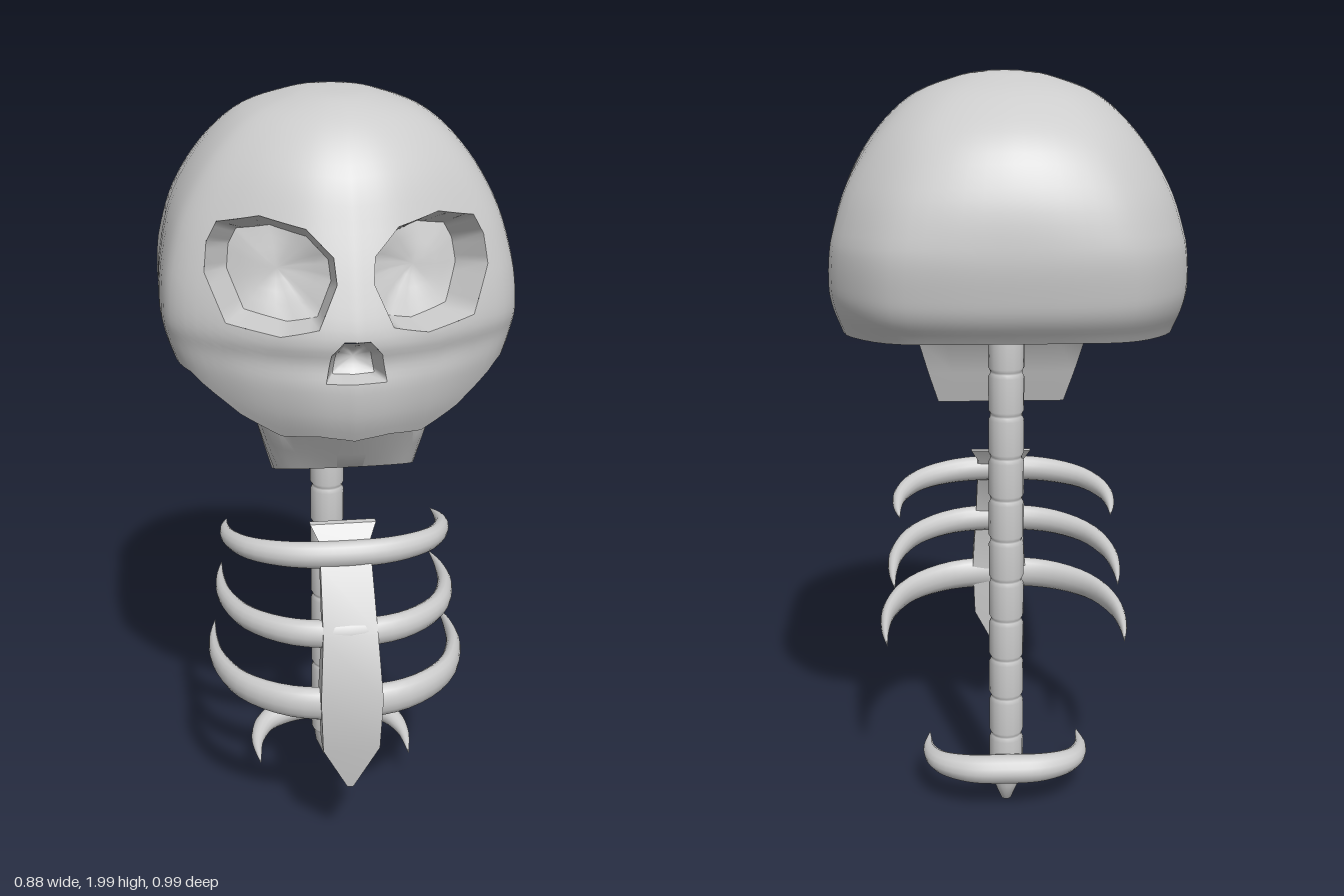
import * as THREE from 'three';
import { mergeVertices, toCreasedNormals } from 'three/addons/utils/BufferGeometryUtils.js';

const V2 = (x, y) => new THREE.Vector2(x, y);
const V3 = (x, y, z) => new THREE.Vector3(x, y, z);
const bone = new THREE.MeshStandardMaterial({ color: 0xcccccc });
bone.name = 'bone';

// Surface from a rule fn(u, v): v runs along the rows, u around each row
function surface(cols, rows, fn) {
  const pos = [], idx = [], w = cols + 1;
  for (let i = 0; i <= rows; i++) for (let j = 0; j <= cols; j++) pos.push(...fn(j / cols, i / rows).toArray());
  for (let i = 0; i < rows; i++) for (let j = 0; j < cols; j++) {
    const a = i * w + j, b = a + w;
    idx.push(a, b, b + 1, a, b + 1, a + 1);
  }
  const g = new THREE.BufferGeometry();
  g.setAttribute('position', new THREE.Float32BufferAttribute(pos, 3));
  g.setIndex(idx);
  const m = mergeVertices(g, 1e-5);
  m.computeVertexNormals();
  return m;
}

// Skull profile from crown to teeth: height, half width, front depth, back depth
const profile = [
  [2, 0, 0, 0], [1.998, .05, .06, .06], [1.985, .12, .17, .14], [1.94, .235, .27, .28], [1.85, .33, .355, .41],
  [1.73, .4, .41, .475], [1.6, .432, .46, .497], [1.5, .44, .49, .49], [1.44, .432, .48, .475],
  [1.38, .412, .487, .435], [1.3, .385, .475, .4], [1.22, .36, .44, .36]];
const heightWidth = new THREE.SplineCurve(profile.map(p => V2(p[0], p[1])));
const depths = new THREE.SplineCurve(profile.map(p => V2(p[2], p[3])));
// Half outline seen from above, front to back, and the height of the lower rim along it
const outline = new THREE.SplineCurve([[0, .49], [.1, .473], [.2, .43], [.3, .37], [.4, .28], [.435, .17], [.44, -.1],
  [.43, -.28], [.32, -.44], [.17, -.49], [0, -.5]].map(p => V2(p[0] / .44, p[1] / (p[1] > 0 ? .49 : .5))));
const rimHeights = [1.245, 1.257, 1.245, 1.29, 1.375, 1.388, 1.375, 1.372, 1.378, 1.383, 1.385];

function bisect(lo, hi, below) {
  for (let i = 0; i < 30; i++) {
    const m = (lo + hi) / 2;
    if (below(m)) lo = m; else hi = m;
  }
  return (lo + hi) / 2;
}

function skullPoint(s, t) {
  const { x: y, y: hw } = heightWidth.getPoint(s), d = depths.getPoint(s), o = outline.getPoint(t);
  const a = Math.atan2(o.x, o.y), k = THREE.MathUtils.clamp((y - 1.6) / .4, 0, 1) * .8;
  const x = THREE.MathUtils.lerp(o.x, Math.sin(a), k), z = THREE.MathUtils.lerp(o.y, Math.cos(a), k);
  return V3(x * hw, y, z * (z > 0 ? d.x : d.y));
}
const levelAt = y => bisect(0, 1, s => heightWidth.getPoint(s).x > y);
function frontZ(x, y) {
  const s = levelAt(y);
  return skullPoint(s, bisect(0, .6, t => skullPoint(s, t).x < Math.abs(x))).z;
}
function rimLevel(t) {
  const f = t * 10, i = Math.min(9, Math.floor(f));
  return levelAt(THREE.MathUtils.lerp(rimHeights[i], rimHeights[i + 1], f - i));
}
function skullAround(u, v) {
  const t = u < .5 ? 2 * u : 2 - 2 * u;
  const p = skullPoint(rimLevel(t) * v, t);
  if (u > .5) p.x *= -1;
  return p;
}

// Openings, clockwise from the front
const leftEye = [[.042, 1.62], [.047, 1.677], [.105, 1.735], [.206, 1.757], [.3, 1.735], [.325, 1.69],
  [.333, 1.624], [.29, 1.52], [.17, 1.503], [.085, 1.524]];
const rightEye = leftEye.map(([x, y]) => [-x, y]).reverse();
const nose = [[-.07, 1.397], [-.058, 1.465], [-.03, 1.497], [.03, 1.497], [.058, 1.465], [.07, 1.397]];

// Cut convex openings through the front of a surface
function cutOpenings(geo, holes) {
  const g = geo.toNonIndexed(), P = g.attributes.position, N = g.attributes.normal;
  let tris = [];
  const vert = i => [P.getX(i), P.getY(i), P.getZ(i), N.getX(i), N.getY(i), N.getZ(i)];
  for (let i = 0; i < P.count; i += 3) tris.push([vert(i), vert(i + 1), vert(i + 2)]);
  for (const hole of holes) {
    const edges = hole.map((p, i) => {
      const q = hole[(i + 1) % hole.length];
      return v => (q[0] - p[0]) * (v[1] - p[1]) - (q[1] - p[1]) * (v[0] - p[0]);
    });
    const clip = (poly, f) => poly.flatMap((a, i) => {
      const b = poly[(i + 1) % poly.length], da = f(a), db = f(b), out = da >= 0 ? [a] : [];
      if (da * db < 0) out.push(a.map((c, k) => c + (b[k] - c) * da / (da - db)));
      return out;
    });
    tris = tris.flatMap(tri => {
      if (tri[0][2] < .1 || edges.some(f => tri.every(v => f(v) >= 0))) return [tri];
      const kept = [];
      let rest = tri;
      for (const f of edges) {
        const out = clip(rest, f);
        for (let i = 1; i + 1 < out.length; i++) kept.push([out[0], out[i], out[i + 1]]);
        rest = clip(rest, v => -f(v));
      }
      return kept;
    });
  }
  const all = tris.flat(), r = new THREE.BufferGeometry();
  r.setAttribute('position', new THREE.Float32BufferAttribute(all.flatMap(v => v.slice(0, 3)), 3));
  r.setAttribute('normal', new THREE.Float32BufferAttribute(all.flatMap(v => v.slice(3)), 3));
  return r;
}

// Recess behind an opening: a wall narrowing inward, then a shallow bowl
function recess(hole, depth, scale, dx, dy) {
  const n = hole.length;
  const cx = hole.reduce((a, p) => a + p[0], 0) / n, cy = hole.reduce((a, p) => a + p[1], 0) / n;
  const rim = u => {
    const f = (u * n) % n, i = Math.floor(f), a = hole[i], b = hole[(i + 1) % n];
    const x = a[0] + (b[0] - a[0]) * (f - i), y = a[1] + (b[1] - a[1]) * (f - i);
    return V3(x, y, frontZ(x, y));
  };
  const inner = u => {
    const p = rim(u);
    return V3(cx + (p.x - cx) * scale + dx, cy + (p.y - cy) * scale + dy, p.z - depth);
  };
  const mid = V3(cx + dx, cy + dy, frontZ(cx, cy) - depth * 1.25);
  return [surface(n * 4, 1, (u, v) => rim(u).lerp(inner(u), v)),
    surface(n * 4, 4, (u, v) => {
      const p = inner(u), z = THREE.MathUtils.lerp(p.z, mid.z, 1 - (1 - v) ** 2);
      return p.lerp(mid, v).setZ(z);
    })];
}

// Tapered crescent swept along a level path
function crescent(points, height, thick, power) {
  const path = new THREE.CatmullRomCurve3([...points.slice(1).reverse().map(p => V3(-p[0], p[1], p[2])),
    ...points.map(p => V3(...p))]);
  return surface(14, 40, (u, v) => {
    const p = path.getPoint(v), t = path.getTangent(v).setY(0).normalize(), a = u * Math.PI * 2;
    const r = Math.max(1e-3, 1 - Math.abs(2 * v - 1) ** power);
    const n = Math.cos(a) * thick * r;
    return V3(p.x - t.z * n, p.y + Math.sin(a) * height * r, p.z + t.x * n);
  });
}

export function createModel() {
  const model = new THREE.Group();
  model.name = 'skeleton';
  const add = (name, geo, parent = model) => {
    const m = new THREE.Mesh(geo, bone);
    m.name = name;
    parent.add(m);
  };

  // Skull
  const skull = new THREE.Group();
  skull.name = 'skull';
  model.add(skull);
  add('cranium', cutOpenings(surface(80, 44, skullAround), [leftEye, rightEye, nose]), skull);
  add('skullBase', surface(80, 4, (u, v) => skullAround(u, 1).lerp(V3(0, 1.35, 0), v)), skull);
  for (const [name, hole, depth, scale, dx, dy] of [['leftEyeSocket', leftEye, .1, .8, -.028, -.02],
    ['rightEyeSocket', rightEye, .1, .8, .028, -.02], ['noseCavity', nose, .06, .7, 0, -.012]]) {
    const [wall, floor] = recess(hole, depth, scale, dx, dy);
    add(name + 'Wall', wall, skull);
    add(name + 'Floor', floor, skull);
  }

  // Jaw: half width, front and back depth, front and back height; the last row closes the underside
  const jawRows = [[.29, .37, .05, 1.36, 1.36], [.25, .42, .12, 1.31, 1.32], [.232, .442, .16, 1.25, 1.28],
    [.205, .4, .19, 1.19, 1.18], [.178, .368, .22, 1.145, 1.09], [0, .29, .29, 1.115, 1.115]];
  add('jaw', toCreasedNormals(surface(24, jawRows.length - 1, (u, v) => {
    const [hw, zf, zb, yf, yb] = jawRows[Math.round(v * (jawRows.length - 1))];
    const c = u <= .75 ? Math.min(1, u / .75) : 1;
    const a = (c - .5) * Math.PI, k = Math.max(0, Math.cos(a)) ** .75;
    const x = u <= .75 ? Math.sin(a) : 1 - (u - .75) * 8;
    const depth = u <= .75 ? k : 0;
    return V3(x * hw, yb + (yf - yb) * depth, zb + (zf - zb) * depth);
  }), .6), skull);

  // Spine: vertebrae parted by narrow grooves, ending in a tail tip
  const spine = [V2(0, .01), V2(.014, .012), V2(.034, .06), V2(.04, .1)];
  for (let i = 0; i < 11; i++) {
    const y = .1 + i * .1145;
    spine.push(V2(.042, y + .003), V2(.047, y + .012), V2(.047, y + .102), V2(.042, y + .112));
  }
  const spineGeo = new THREE.LatheGeometry(spine, 16);
  spineGeo.translate(0, 0, -.095);
  add('spine', spineGeo);

  // Breastbone: height, half width, front depth, back depth
  const plate = [[.94, .085, .25, .23], [.905, .066, .28, .255], [.85, .066, .315, .285], [.7, .07, .405, .36],
    [.53, .08, .445, .375], [.38, .074, .436, .38], [.25, .008, .415, .395]];
  const corners = [[-1, 1], [1, 1], [1, 0], [-1, 0], [-1, 1]];
  add('breastbone', toCreasedNormals(surface(4, plate.length + 1, (u, v) => {
    const i = Math.round(v * (plate.length + 1)) - 1;
    const [y, hw, zf, zb] = plate[THREE.MathUtils.clamp(i, 0, plate.length - 1)];
    const [sx, f] = corners[Math.round(u * 4)];
    if (i < 0 || i === plate.length) return V3(0, y, (zf + zb) / 2);
    return V3(sx * hw, y, f ? zf : zb);
  }), .5));

  // Ribs: height, drop toward the tips, half width, front depth, tip depth, half thickness
  [[.872, .04, .285, .29, -.05, .036], [.69, .03, .3, .375, -.13, .038], [.503, .018, .325, .405, -.11, .046]]
    .forEach(([y, drop, w, z, tip, h], i) => {
      const at = (x, k) => [x * w, y - drop * k, z + (tip - z) * k];
      add('rib' + (i + 1), crescent([at(0, 0), at(.45, .05), at(.82, .24), at(1, .52), at(1.03, .78), at(1, 1)], h, .032, 2));
    });

  // Pelvis
  add('pelvis', crescent([[0, .137, -.165], [.1, .135, -.155], [.18, .13, -.105], [.215, .125, -.02], [.215, .12, .1]], .04, .042, 2));
  return model;
}
